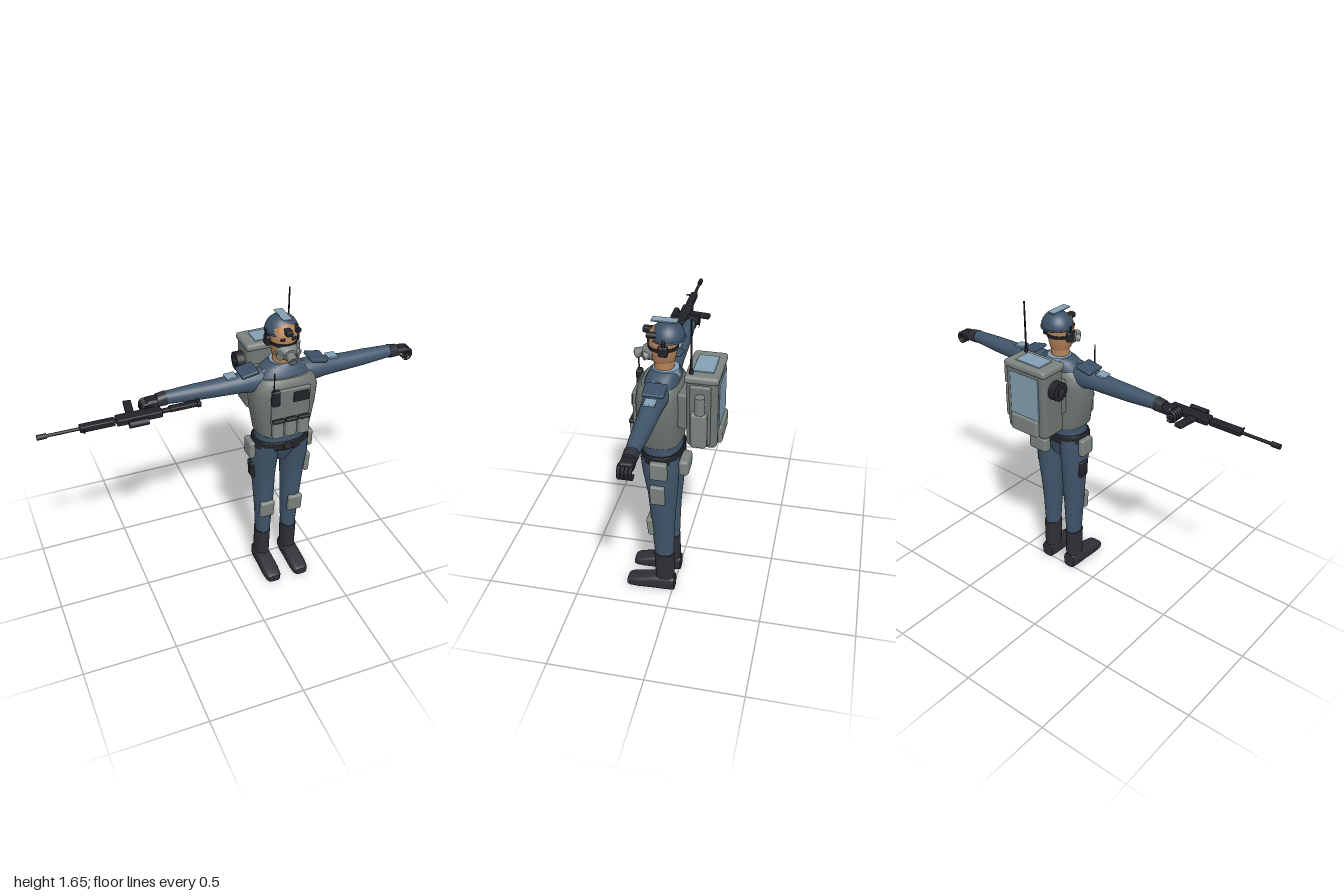
import * as THREE from 'three';
import { RoundedBoxGeometry } from 'three/addons/geometries/RoundedBoxGeometry.js';

const mat = (name, color, side = THREE.FrontSide) => {
  const m = new THREE.MeshStandardMaterial({ color, side });
  m.name = name;
  return m;
};

export function createModel() {
  const blue = mat('uniformBlue', 0x40556a);
  const navy = mat('helmetBlue', 0x3c5066, THREE.DoubleSide);
  const sky = mat('paleBlue', 0x84a0b4);
  const grey = mat('armourGrey', 0x6f7672);
  const stone = mat('pouchGrey', 0x7c847f);
  const boot = mat('bootCharcoal', 0x2f2f37);
  const black = mat('gearBlack', 0x222328);
  const skin = mat('skin', 0xb5835a);

  const root = new THREE.Group();
  root.name = 'soldier';
  const body = new THREE.Group();
  body.name = 'body';
  body.position.x = 0.255;
  root.add(body);

  const add = (parent, name, geo, m, p = [0, 0, 0], r = [0, 0, 0]) => {
    const mesh = new THREE.Mesh(geo, m);
    mesh.name = name;
    mesh.position.set(...p);
    mesh.rotation.set(...r);
    parent.add(mesh);
    return mesh;
  };
  const rbox = (w, h, d, r = 0.01) => new RoundedBoxGeometry(w, h, d, 2, Math.min(r, w * 0.45, h * 0.45, d * 0.45));
  const cyl = (r1, r2, h, n = 20) => new THREE.CylinderGeometry(r1, r2, h, n);
  const tube = (pts, r) => new THREE.TubeGeometry(
    new THREE.CatmullRomCurve3(pts.map(p => new THREE.Vector3(...p))), 12, r, 8);

  // Closed loft along y through rings [y, centreX, centreZ, radiusX, radiusZ]; power > 2 squares it off
  const loft = (rings, power = 2, n = 32) => {
    const pos = [], idx = [];
    const ring = ([y, cx, cz, rx, rz]) => {
      for (let i = 0; i < n; i++) {
        const a = (i / n) * Math.PI * 2, c = Math.cos(a), s = Math.sin(a);
        pos.push(cx + rx * Math.sign(c) * Math.abs(c) ** (2 / power), y,
          cz + rz * Math.sign(s) * Math.abs(s) ** (2 / power));
      }
    };
    rings.forEach(ring);
    for (let j = 0; j < rings.length - 1; j++) {
      for (let i = 0; i < n; i++) {
        const a = j * n + i, b = j * n + (i + 1) % n;
        idx.push(a, a + n, b, b, a + n, b + n);
      }
    }
    [rings[0], rings[rings.length - 1]].forEach((q, top) => {
      const base = pos.length / 3;
      ring(q);
      pos.push(q[1], q[0], q[2]);
      for (let i = 0; i < n; i++) {
        const a = base + i, b = base + (i + 1) % n;
        idx.push(base + n, top ? b : a, top ? a : b);
      }
    });
    const g = new THREE.BufferGeometry();
    g.setAttribute('position', new THREE.Float32BufferAttribute(pos, 3));
    g.setIndex(idx);
    g.computeVertexNormals();
    return g;
  };
  // Lofts turned to run along +x (rings [x, y, z, ry, rz]) or +z (rings [z, x, y, rx, ry])
  const loftX = (rings, p) => loft(rings.map(([x, y, z, a, b]) => [x, -y, z, a, b]), p).rotateZ(-Math.PI / 2);
  const loftZ = (rings, p) => loft(rings.map(([z, x, y, a, b]) => [z, x, -y, a, b]), p).rotateX(Math.PI / 2);

  // Torso
  add(body, 'shirt', loft([[0.85, 0, 0.06, 0.146, 0.1], [0.95, 0, 0.06, 0.135, 0.1], [1.2, 0, 0.06, 0.165, 0.1],
    [1.28, 0, 0.055, 0.15, 0.085], [1.32, 0, 0.05, 0.1, 0.07], [1.335, 0, 0.045, 0.065, 0.06]], 2.3), blue);
  add(body, 'vest', loft([[0.94, 0, 0.065, 0.13, 0.1], [0.955, 0, 0.065, 0.147, 0.11], [1.1, 0, 0.065, 0.172, 0.114],
    [1.2, 0, 0.065, 0.18, 0.115], [1.255, 0, 0.063, 0.166, 0.108], [1.28, 0, 0.06, 0.14, 0.092]], 2.7), grey);
  add(body, 'collar', loft([[1.27, 0, 0.055, 0.085, 0.085], [1.31, 0, 0.045, 0.072, 0.07],
    [1.34, 0, 0.042, 0.062, 0.065]]), sky);
  add(body, 'pelvis', loft([[0.755, 0, 0.055, 0.04, 0.06], [0.83, 0, 0.058, 0.1, 0.09], [0.88, 0, 0.06, 0.148, 0.103]]), blue);
  add(body, 'belt', loft([[0.855, 0, 0.06, 0.155, 0.104], [0.86, 0, 0.06, 0.158, 0.107],
    [0.9, 0, 0.06, 0.154, 0.107], [0.905, 0, 0.06, 0.15, 0.103]], 2.3), black);
  add(body, 'buckle', rbox(0.045, 0.036, 0.012, 0.004), boot, [0, 0.88, 0.168]);

  // Chest equipment
  add(body, 'chestPanel', rbox(0.21, 0.2, 0.02), grey, [0, 1.14, 0.176]);
  add(body, 'chestScreen', rbox(0.085, 0.058, 0.01, 0.003), black, [0.053, 1.19, 0.187]);
  for (const x of [-0.07, 0, 0.07]) {
    add(body, 'chestPouch', rbox(0.06, 0.1, 0.04, 0.012), stone, [x, 1.015, 0.185]);
    add(body, 'pouchFlap', rbox(0.064, 0.018, 0.044, 0.006), black, [x, 1.068, 0.186]);
  }
  add(body, 'chestRadio', rbox(0.042, 0.088, 0.03, 0.008), black, [-0.092, 1.212, 0.197]);
  add(body, 'radioAntenna', cyl(0.003, 0.004, 0.11, 8), black, [-0.105, 1.305, 0.203]);

  // Neck and head
  add(body, 'neck', cyl(0.048, 0.048, 0.1), skin, [0, 1.36, 0.05]);
  add(body, 'head', loft([[1.362, 0, 0.055, 0.035, 0.045], [1.38, 0, 0.054, 0.053, 0.058], [1.43, 0, 0.054, 0.065, 0.068],
    [1.48, 0, 0.053, 0.071, 0.072], [1.53, 0, 0.05, 0.066, 0.068], [1.56, 0, 0.045, 0.03, 0.035]]), skin);
  const helmet = add(body, 'helmet', new THREE.SphereGeometry(1, 32, 16, 0, Math.PI * 2, 0, Math.PI * 0.52), navy, [0, 1.5, 0.03]);
  helmet.scale.set(0.084, 0.08, 0.079);
  add(body, 'helmetRim', new THREE.TorusGeometry(0.081, 0.005, 8, 32), navy, [0, 1.498, 0.03], [Math.PI / 2, 0, 0]);
  add(body, 'helmetStripe', rbox(0.046, 0.008, 0.125, 0.003), sky, [0, 1.581, 0.045]);
  add(body, 'visorMount', rbox(0.034, 0.028, 0.05, 0.006), black, [-0.005, 1.525, 0.125]);
  add(body, 'helmetLamp', cyl(0.015, 0.015, 0.05, 14), black, [0.052, 1.523, 0.095], [Math.PI / 2, 0, 0]);
  add(body, 'headStrap', loft([[1.442, 0, 0.054, 0.07, 0.073], [1.46, 0, 0.054, 0.073, 0.075]]), black);
  add(body, 'maskBody', loftZ([[0.095, 0, 1.42, 0.056, 0.045], [0.125, 0, 1.415, 0.05, 0.04], [0.15, 0, 1.41, 0.03, 0.028]], 2.4), stone);
  add(body, 'maskFilter', cyl(0.026, 0.022, 0.045), stone, [0, 1.402, 0.165], [Math.PI / 2 + 0.35, 0, 0]);
  add(body, 'filterCap', cyl(0.017, 0.017, 0.008), grey, [0, 1.394, 0.187], [Math.PI / 2 + 0.35, 0, 0]);

  // Paired parts, built for the left side and mirrored
  for (const s of [1, -1]) {
    const half = new THREE.Group();
    half.name = s > 0 ? 'leftSide' : 'rightSide';
    half.scale.x = s;
    body.add(half);

    add(half, 'eye', rbox(0.024, 0.016, 0.009, 0.004), black, [0.029, 1.485, 0.12], [0, 0.25, 0]);
    add(half, 'sideFilter', cyl(0.02, 0.018, 0.03), stone, [0.044, 1.41, 0.128], [Math.PI / 2 + 0.2, 0, -0.6]);
    add(half, 'earCup', rbox(0.026, 0.056, 0.048, 0.012), black, [0.078, 1.457, 0.038]);
    add(half, 'earBracket', rbox(0.012, 0.05, 0.018, 0.004), black, [0.082, 1.49, 0.035]);

    add(half, 'sleeve', loftX([[0.08, 1.245, 0.056, 0.065, 0.06], [0.15, 1.252, 0.057, 0.063, 0.06],
      [0.23, 1.253, 0.056, 0.052, 0.053], [0.35, 1.25, 0.054, 0.045, 0.046], [0.46, 1.252, 0.053, 0.042, 0.042],
      [0.62, 1.255, 0.052, 0.033, 0.031]]), blue);
    add(half, 'cuff', loftX([[0.612, 1.254, 0.052, 0.035, 0.034], [0.66, 1.25, 0.052, 0.031, 0.032]], 2.4), boot);
    add(half, 'palm', rbox(0.065, 0.044, 0.066, 0.015), black, [0.683, 1.247, 0.052]);
    for (let i = 0; i < 4; i++) {
      const z = 0.027 + i * 0.017;
      add(half, 'finger', tube([[0.7, 1.255, z], [0.73, 1.25, z], [0.736, 1.215, z], [0.712, 1.2, z], [0.698, 1.207, z]], 0.0088), black);
    }
    add(half, 'thumb', tube([[0.665, 1.245, 0.075], [0.682, 1.232, 0.088], [0.705, 1.215, 0.082]], 0.01), black);
    add(half, 'shoulderPad', rbox(0.09, 0.018, 0.105, 0.006), navy, [0.188, 1.313, 0.053], [0, 0, -0.2]);
    add(half, 'shoulderStrap', rbox(0.08, 0.018, 0.06, 0.006), grey, [0.11, 1.3, 0.055], [0, 0, -0.45]);
    add(half, 'armPatch', rbox(0.055, 0.012, 0.056, 0.004), sky, [0.277, 1.301, 0.054], [0, 0, -0.06]);

    add(half, 'trouserLeg', loft([[0.23, 0.078, 0.046, 0.039, 0.05], [0.4, 0.078, 0.05, 0.049, 0.06],
      [0.5, 0.08, 0.05, 0.055, 0.065], [0.65, 0.084, 0.048, 0.063, 0.077], [0.78, 0.086, 0.055, 0.072, 0.092],
      [0.88, 0.08, 0.06, 0.07, 0.1]]), blue);
    add(half, 'kneePad', rbox(0.082, 0.105, 0.032, 0.012), stone, [0.083, 0.435, 0.112], [0.1, 0, 0]);
    add(half, 'bootShaft', loft([[0.03, 0.082, 0.044, 0.041, 0.05], [0.1, 0.08, 0.044, 0.04, 0.051],
      [0.245, 0.08, 0.046, 0.042, 0.053]], 2.4), boot);
    add(half, 'bootFoot', loftZ([[-0.01, 0.083, 0.042, 0.036, 0.042], [0.03, 0.083, 0.045, 0.043, 0.045],
      [0.1, 0.083, 0.042, 0.044, 0.042], [0.19, 0.083, 0.031, 0.047, 0.031], [0.235, 0.083, 0.026, 0.042, 0.026],
      [0.25, 0.083, 0.022, 0.033, 0.02]], 3.5), boot);
    add(half, 'hipPouch', rbox(0.036, 0.1, 0.088, 0.012), stone, [0.164, 0.837, 0.05]);
  }

  // Gear worn on one side only
  add(body, 'thighPouch', rbox(0.03, 0.115, 0.075), stone, [0.155, 0.68, 0.06], [0, 0, -0.06]);
  add(body, 'holster', rbox(0.026, 0.1, 0.06), black, [-0.15, 0.69, 0.045], [0, 0, 0.06]);
  add(body, 'seatPouch', rbox(0.12, 0.085, 0.05, 0.015), stone, [0.06, 0.833, -0.065]);

  // Backpack
  const pack = new THREE.Group();
  pack.name = 'backpack';
  body.add(pack);
  add(pack, 'packBackplate', rbox(0.22, 0.19, 0.05), grey, [0, 1.16, -0.06]);
  add(pack, 'packBody', rbox(0.262, 0.37, 0.15, 0.025), grey, [0, 1.165, -0.155]);
  add(pack, 'packLid', rbox(0.272, 0.04, 0.165, 0.016), stone, [0, 1.352, -0.153]);
  add(pack, 'lidPanel', rbox(0.16, 0.008, 0.1, 0.003), sky, [0, 1.373, -0.153]);
  add(pack, 'packRearPanel', rbox(0.19, 0.24, 0.009, 0.004), sky, [0, 1.2, -0.231]);
  add(pack, 'packRearPouch', rbox(0.18, 0.095, 0.035, 0.012), stone, [0, 1.04, -0.232]);
  add(pack, 'packSidePanel', rbox(0.025, 0.32, 0.1), grey, [0.136, 1.17, -0.15]);
  add(pack, 'packSidePouch', rbox(0.05, 0.19, 0.08, 0.016), stone, [0.158, 1.105, -0.148]);
  add(pack, 'packSideBottle', cyl(0.024, 0.024, 0.09), stone, [0.175, 1.25, -0.155]);
  add(pack, 'packDrum', cyl(0.05, 0.05, 0.045, 24), black, [-0.15, 1.25, -0.15], [0, 0, Math.PI / 2]);
  add(pack, 'drumHub', cyl(0.022, 0.022, 0.012), boot, [-0.172, 1.25, -0.15], [0, 0, Math.PI / 2]);
  add(pack, 'antennaBase', cyl(0.009, 0.011, 0.03, 12), black, [0.1, 1.38, -0.1]);
  add(pack, 'packAntenna', cyl(0.004, 0.005, 0.275, 8), black, [0.1, 1.508, -0.1]);

  // Rifle lying along x, its top turned to the front
  const rifle = new THREE.Group();
  rifle.name = 'rifle';
  rifle.position.set(0, 1.225, 0.115);
  root.add(rifle);
  const rod = (name, x0, x1, r, z = 0) =>
    add(rifle, name, cyl(r, r, x1 - x0, 14), black, [(x0 + x1) / 2, 0, z], [0, 0, Math.PI / 2]);
  const block = (name, x0, x1, h, d, z = 0, ry = 0) =>
    add(rifle, name, rbox(x1 - x0, h, d, 0.005), black, [(x0 + x1) / 2, 0, z], [0, ry, 0]);
  rod('muzzle', -1, -0.955, 0.013);
  rod('barrel', -0.96, -0.6, 0.008);
  block('handguard', -0.8, -0.63, 0.032, 0.038);
  block('receiver', -0.625, -0.4, 0.034, 0.058);
  block('stockTube', -0.41, -0.24, 0.018, 0.024);
  block('stock', -0.36, -0.22, 0.022, 0.036, -0.004);
  block('buttPlate', -0.222, -0.2, 0.026, 0.046, -0.004);
  block('frontSight', -0.79, -0.78, 0.008, 0.04, 0.025);
  block('magazine', -0.56, -0.52, 0.022, 0.12, -0.08, -0.13);
  block('grip', -0.465, -0.43, 0.026, 0.085, -0.055, 0.25);
  block('scopeMount', -0.55, -0.5, 0.018, 0.03, 0.035);
  rod('scope', -0.575, -0.48, 0.017, 0.056);

  return root;
}
